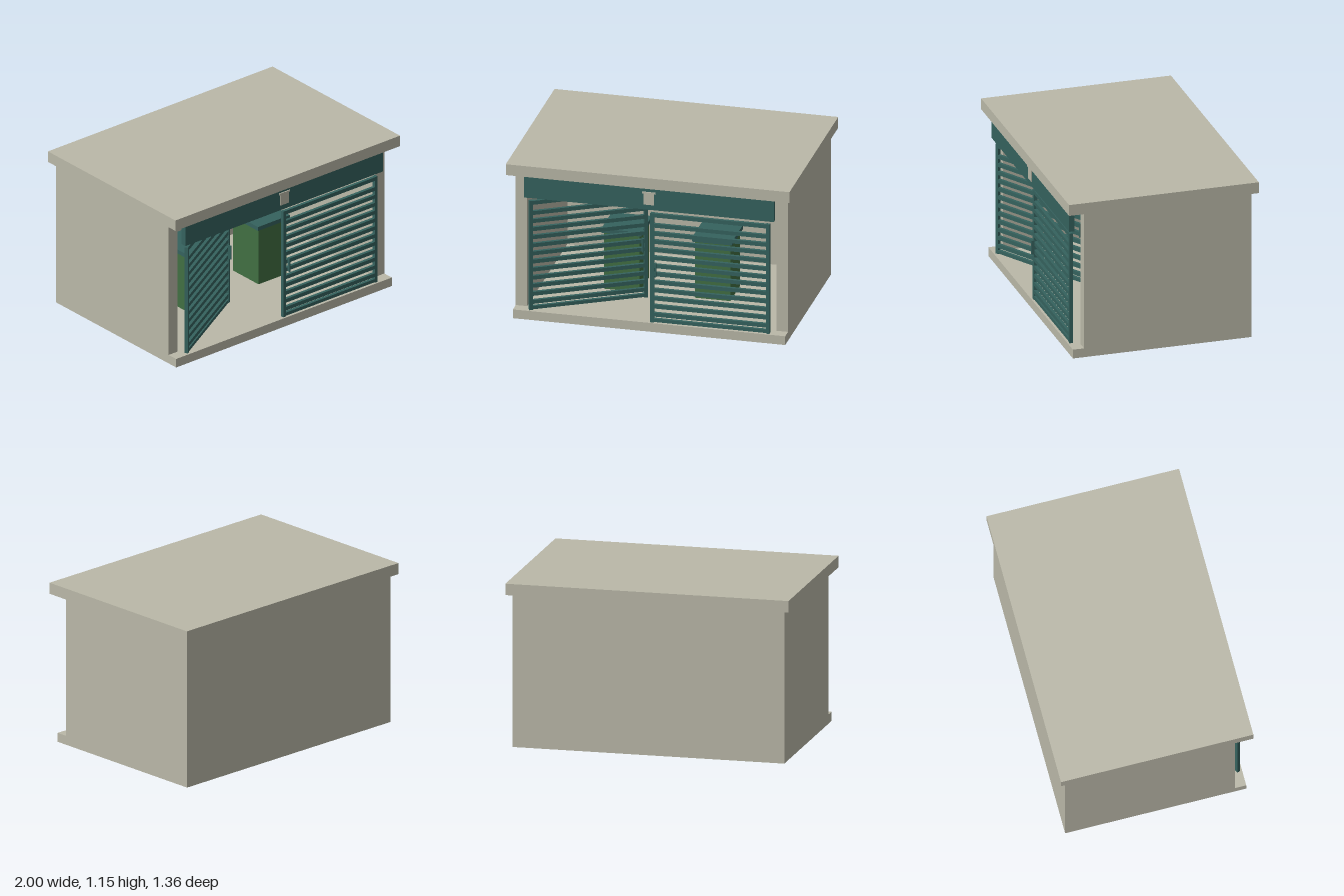
import * as THREE from 'three';

const stone = new THREE.MeshStandardMaterial({ color: 0xbab8a8 });
stone.name = 'stone beige';
const teal = new THREE.MeshStandardMaterial({ color: 0x35625e });
teal.name = 'dark teal';
const green = new THREE.MeshStandardMaterial({ color: 0x416f42 });
green.name = 'bin green';

// Box given by its min and max on each axis
function box(parent, name, mat, [x0, x1], [y0, y1], [z0, z1]) {
  const mesh = new THREE.Mesh(new THREE.BoxGeometry(x1 - x0, y1 - y0, z1 - z0), mat);
  mesh.position.set((x0 + x1) / 2, (y0 + y1) / 2, (z0 + z1) / 2);
  mesh.name = name;
  parent.add(mesh);
  return mesh;
}

const FLOOR = 0.065, DOOR_TOP = 0.875, DOOR_W = 0.84, STILE = 0.025;

// Slatted door: hinge edge at x = 0, front face at z = 0, extends along dir
function makeDoor(name, dir) {
  const door = new THREE.Group();
  door.name = name;
  const span = (a, b) => (dir > 0 ? [a, b] : [-b, -a]);
  box(door, 'hingeStile', teal, span(0, STILE), [FLOOR, DOOR_TOP], [-0.025, 0]);
  box(door, 'outerStile', teal, span(DOOR_W - STILE, DOOR_W), [FLOOR, DOOR_TOP], [-0.025, 0]);
  const slat = (y, h) =>
    box(door, 'slat', teal, span(STILE, DOOR_W - STILE), [y - h / 2, y + h / 2], [-0.0235, -0.0015]);
  slat(0.859, 0.028);
  for (let i = 0; i < 12; i++) slat(0.783 - i * 0.06, 0.028);
  slat(0.081, 0.024);
  box(door, 'doorHandle', teal, span(DOOR_W - 0.045, DOOR_W - 0.035), [0.41, 0.512], [0, 0.023]);
  return door;
}

export function createModel() {
  const model = new THREE.Group();
  model.name = 'binShelter';

  // Shell
  box(model, 'base', stone, [-0.96, 0.96], [0, FLOOR], [-0.64, 0.64]);
  box(model, 'roof', stone, [-1, 1], [1.075, 1.155], [-0.68, 0.68]);
  box(model, 'backWall', stone, [-0.96, 0.96], [FLOOR, 1.075], [-0.64, -0.56]);
  box(model, 'leftWall', stone, [0.88, 0.96], [FLOOR, 1.075], [-0.56, 0.56]);
  box(model, 'rightWall', stone, [-0.96, -0.88], [FLOOR, 1.075], [-0.56, 0.56]);

  // Header panel with a small bin sign
  box(model, 'headerPanel', teal, [-0.88, 0.88], [0.905, 1.075], [0.603, 0.642]);
  box(model, 'signBinBody', stone, [-0.037, 0.037], [0.943, 1.025], [0.642, 0.648]);
  box(model, 'signBinLid', stone, [-0.047, 0.047], [1.025, 1.037], [0.642, 0.65]);

  // Doors: one closed, one swung inward
  const leftDoor = makeDoor('leftDoor', -1);
  leftDoor.position.set(0.845, 0, 0.627);
  const rightDoor = makeDoor('rightDoor', 1);
  rightDoor.position.set(-0.845, 0, 0.627);
  rightDoor.rotation.y = Math.PI / 6;
  model.add(leftDoor, rightDoor);

  // Two bins inside
  for (const [name, x] of [['leftBin', 0.32], ['rightBin', -0.32]]) {
    const bin = new THREE.Group();
    bin.name = name;
    bin.position.x = x;
    box(bin, 'binBody', green, [-0.125, 0.125], [FLOOR, 0.485], [-0.135, 0.135]);
    box(bin, 'binLid', teal, [-0.142, 0.142], [0.485, 0.515], [-0.15, 0.15]);
    model.add(bin);
  }
  return model;
}
